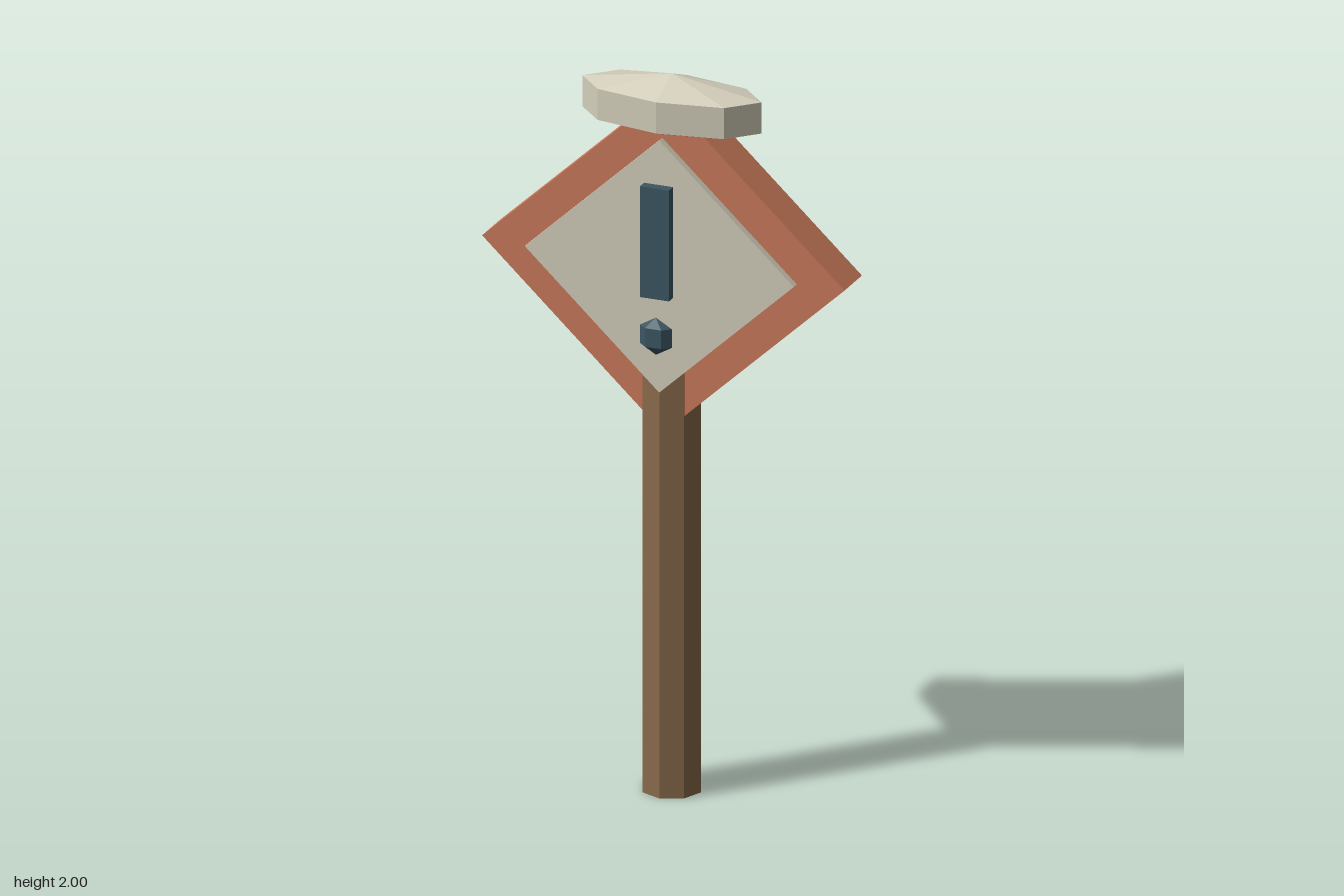
import * as THREE from 'three';

const flatColor = (name, color) => {
  const m = new THREE.MeshStandardMaterial({ color, flatShading: true });
  m.name = name;
  return m;
};

export function createModel() {
  const wood = flatColor('brown wood', 0x8a6a4b);
  const clay = flatColor('terracotta', 0xc9795a);
  const cream = flatColor('cream', 0xd4cfbb);
  const slate = flatColor('dark slate blue', 0x3d5662);

  const group = new THREE.Group();
  group.name = 'warningSign';

  const add = (name, geometry, material, x, y, z) => {
    const mesh = new THREE.Mesh(geometry, material);
    mesh.name = name;
    mesh.position.set(x, y, z);
    group.add(mesh);
    return mesh;
  };

  // Diamond slab standing upright, starting at its back face
  const diamond = (w, h, depth) => {
    const shape = new THREE.Shape();
    shape.moveTo(w, 0);
    shape.lineTo(0, h);
    shape.lineTo(-w, 0);
    shape.lineTo(0, -h);
    shape.closePath();
    return new THREE.ExtrudeGeometry(shape, { depth, bevelEnabled: false });
  };

  // Octagonal post
  add('post', new THREE.CylinderGeometry(0.083, 0.083, 1.68, 8), wood, 0, 0.84, -0.01);

  // Sign board and its raised face plate
  add('signBoard', diamond(0.512, 0.475, 0.117), clay, 0, 1.49, -0.07);
  add('facePlate', diamond(0.38, 0.353, 0.021), cream, 0, 1.49, 0.054);

  // Exclamation mark: bar and faceted dot
  add('markBar', new THREE.BoxGeometry(0.082, 0.31, 0.028), slate, 0, 1.565, 0.093);
  const dot = new THREE.SphereGeometry(0.052, 6, 3);
  dot.scale(1, 1, 0.5);
  add('markDot', dot, slate, 0, 1.303, 0.097);

  // Faceted cap on the top corner
  const cap = new THREE.SphereGeometry(1, 8, 3);
  const ring = Math.sin(Math.PI / 3);
  cap.scale(0.253 / ring, 0.087, 0.106 / ring);
  add('cap', cap, cream, 0, 1.913, -0.011);

  return group;
}
